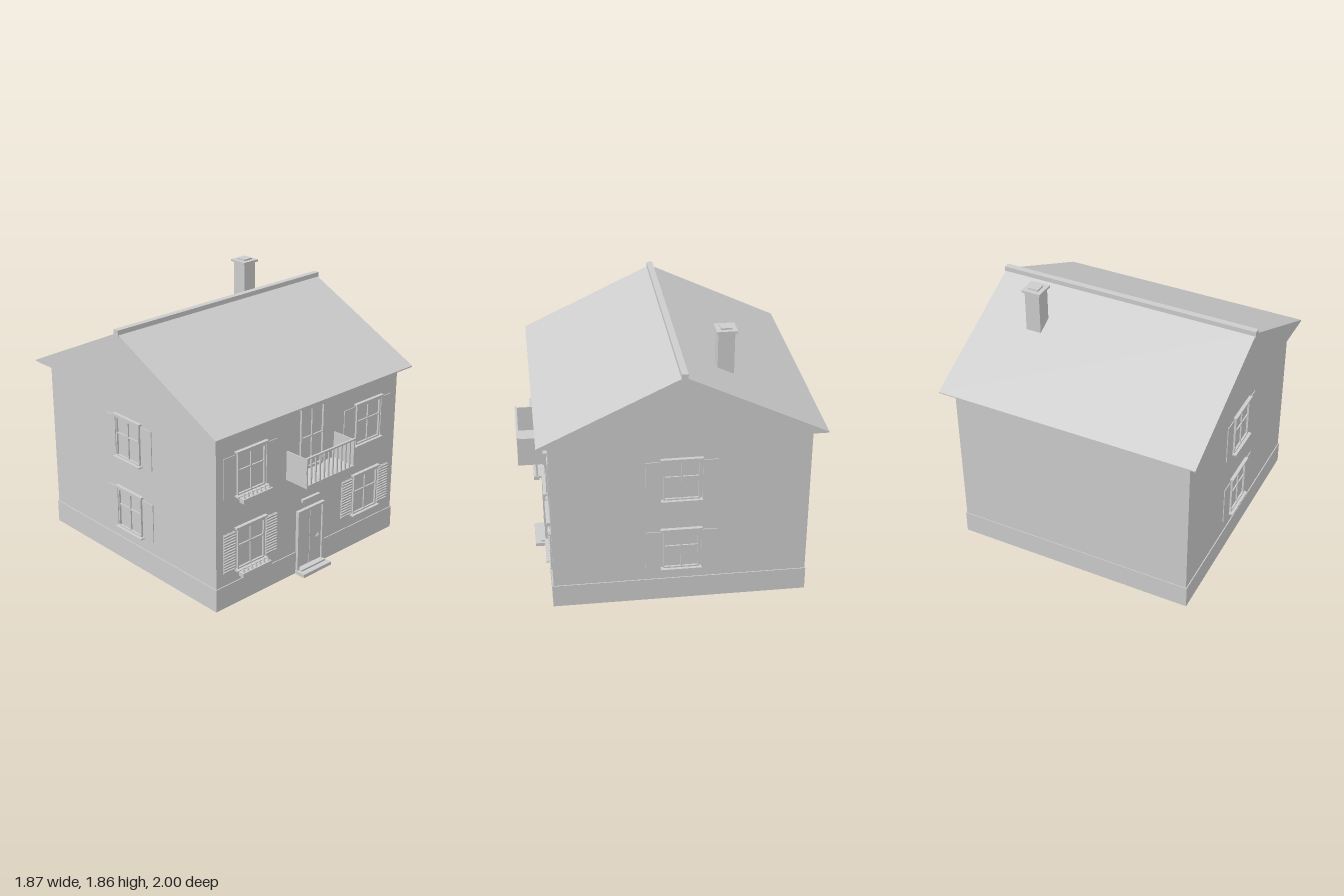
import * as THREE from 'three';

const grey = new THREE.MeshStandardMaterial({ color: 0xcccccc });
grey.name = 'plaster grey';

// Box given by its minimum and maximum along each axis
function box(parent, name, x0, x1, y0, y1, z0, z1) {
  const mesh = new THREE.Mesh(new THREE.BoxGeometry(x1 - x0, y1 - y0, z1 - z0), grey);
  mesh.position.set((x0 + x1) / 2, (y0 + y1) / 2, (z0 + z1) / 2);
  mesh.name = name;
  parent.add(mesh);
  return mesh;
}

function group(parent, name) {
  const g = new THREE.Group();
  g.name = name;
  parent.add(g);
  return g;
}

// Rectangular frame with a hole, standing on the plane z = 0
function frame(parent, name, w, y0, y1, bar, depth, bottomBar = bar) {
  const shape = new THREE.Shape([[-w, y0], [w, y0], [w, y1], [-w, y1]].map(p => new THREE.Vector2(...p)));
  const i = w - bar, b = y0 + bottomBar, t = y1 - bar;
  shape.holes.push(new THREE.Path([[-i, b], [-i, t], [i, t], [i, b]].map(p => new THREE.Vector2(...p))));
  const mesh = new THREE.Mesh(new THREE.ExtrudeGeometry(shape, { depth, bevelEnabled: false }), grey);
  mesh.name = name;
  parent.add(mesh);
}

// Window facing +z, its sill at y = 0
function addWindow(parent, louvred) {
  const g = group(parent, 'window');
  frame(g, 'windowFrame', 0.122, 0.01, 0.3, 0.01, 0.014);
  box(g, 'mullion', -0.005, 0.005, 0.02, 0.29, 0, 0.01);
  box(g, 'transom', -0.112, 0.112, 0.175, 0.185, 0, 0.01);
  box(g, 'windowSill', -0.138, 0.138, 0, 0.01, 0, 0.035);
  box(g, 'lintel', -0.13, 0.13, 0.3, 0.31, 0, 0.018);
  box(g, 'lintelCap', -0.14, 0.14, 0.31, 0.322, 0, 0.025);
  for (const s of [-1, 1]) {
    const shutter = group(g, 'shutter');
    shutter.position.x = s * 0.19;
    box(shutter, 'shutterPanel', -0.05, 0.05, 0.012, 0.298, 0, 0.006);
    if (louvred) for (let i = 0; i < 14; i++) {
      const slat = box(shutter, 'shutterSlat', -0.05, 0.05, 0, 0.014, 0.004, 0.012);
      slat.position.y = 0.022 + i * 0.0205;
      slat.rotation.x = 0.45;
    }
  }
  return g;
}

function addFlowerBox(parent) {
  const g = group(parent, 'flowerBox');
  box(g, 'planter', -0.13, 0.13, -0.027, 0.004, 0.035, 0.077);
  box(g, 'planterBracket', -0.12, 0.12, -0.015, 0, 0, 0.036);
  for (let i = 0; i < 7; i++) {
    const flower = new THREE.Mesh(new THREE.ConeGeometry(0.014, 0.034, 6), grey);
    flower.position.set(-0.111 + i * 0.037, 0.021, 0.056);
    flower.name = 'flower';
    g.add(flower);
  }
}

export function createModel() {
  const house = new THREE.Group();
  house.name = 'house';

  // Walls and plinth
  box(house, 'walls', -0.86, 0.86, 0.01, 1.27, -0.915, 0.81);
  box(house, 'plinth', -0.867, 0.867, 0, 0.165, -0.92, 0.817);

  // Solid gable roof, drawn in side profile and extruded along x
  const profile = new THREE.Shape([[-0.885, 1.265], [1, 1.265], [1, 1.273], [0.058, 1.722], [-0.885, 1.273]]
    .map(p => new THREE.Vector2(...p)));
  const roofGeo = new THREE.ExtrudeGeometry(profile, { depth: 1.86, bevelEnabled: false });
  roofGeo.translate(0, 0, -0.93).rotateY(Math.PI / 2);
  const roof = new THREE.Mesh(roofGeo, grey);
  roof.name = 'roof';
  house.add(roof);
  box(house, 'ridgeCap', -0.935, 0.935, 1.7, 1.745, -0.08, -0.037);

  // Chimney
  const chimney = group(house, 'chimney');
  box(chimney, 'chimneyStack', 0.46, 0.568, 1.5, 1.84, -0.435, -0.325);
  box(chimney, 'chimneyCap', 0.445, 0.582, 1.838, 1.853, -0.45, -0.312);
  box(chimney, 'chimneyTop', 0.477, 0.551, 1.853, 1.864, -0.418, -0.344);

  // Windows on the front and on both gable walls
  for (const y of [0.245, 0.785]) {
    for (const s of [-1, 1]) {
      const front = addWindow(house, y < 0.5);
      front.position.set(s * 0.56, y, 0.81);
      if (s < 0) addFlowerBox(front);
      const side = addWindow(house, false);
      side.position.set(s * 0.86, y, -0.055);
      side.rotation.y = s * Math.PI / 2;
    }
  }

  // Front door with steps
  const door = group(house, 'frontDoor');
  door.position.z = 0.81;
  frame(door, 'doorFrame', 0.128, 0, 0.477, 0.018, 0.025, 0.03);
  box(door, 'doorLeaf', -0.11, 0.11, 0.03, 0.459, 0, 0.012);
  box(door, 'doorMullion', -0.005, 0.005, 0.04, 0.455, 0.01, 0.016);
  box(door, 'handlePlate', 0.07, 0.08, 0.217, 0.242, 0.01, 0.02);
  box(door, 'doorHandle', 0.05, 0.078, 0.227, 0.233, 0.018, 0.028);
  box(door, 'lowerStep', -0.135, 0.135, 0, 0.025, 0, 0.095);
  box(door, 'upperStep', -0.115, 0.115, 0.025, 0.038, 0, 0.055);
  box(door, 'doorSign', -0.085, 0.083, 0.532, 0.552, 0, 0.022);

  // Balcony door
  const french = group(house, 'balconyDoor');
  french.position.z = 0.81;
  frame(french, 'balconyDoorFrame', 0.11, 0.77, 1.217, 0.011, 0.014, 0.02);
  box(french, 'balconyDoorMullion', -0.005, 0.005, 0.79, 1.207, 0, 0.01);
  box(french, 'balconyDoorTransom', -0.1, 0.1, 1.0, 1.01, 0, 0.01);
  box(french, 'balconyDoorLintel', -0.118, 0.118, 1.217, 1.227, 0, 0.016);
  box(french, 'balconyDoorCap', -0.127, 0.127, 1.227, 1.238, 0, 0.022);

  // Balcony: floor, closed sides, railing of bars
  const balcony = group(house, 'balcony');
  box(balcony, 'balconyFloor', -0.232, 0.232, 0.75, 0.772, 0.8, 1);
  for (const s of [-1, 1]) {
    box(balcony, 'balconySide', s * 0.228 - 0.004, s * 0.228 + 0.004, 0.75, 0.96, 0.8, 0.995);
  }
  box(balcony, 'handRail', -0.235, 0.235, 0.958, 0.97, 0.985, 1);
  for (let i = 0; i < 12; i++) {
    const x = -0.226 + i * 0.0411;
    box(balcony, 'railingBar', x - 0.005, x + 0.005, 0.77, 0.96, 0.987, 0.997);
  }
  return house;
}
